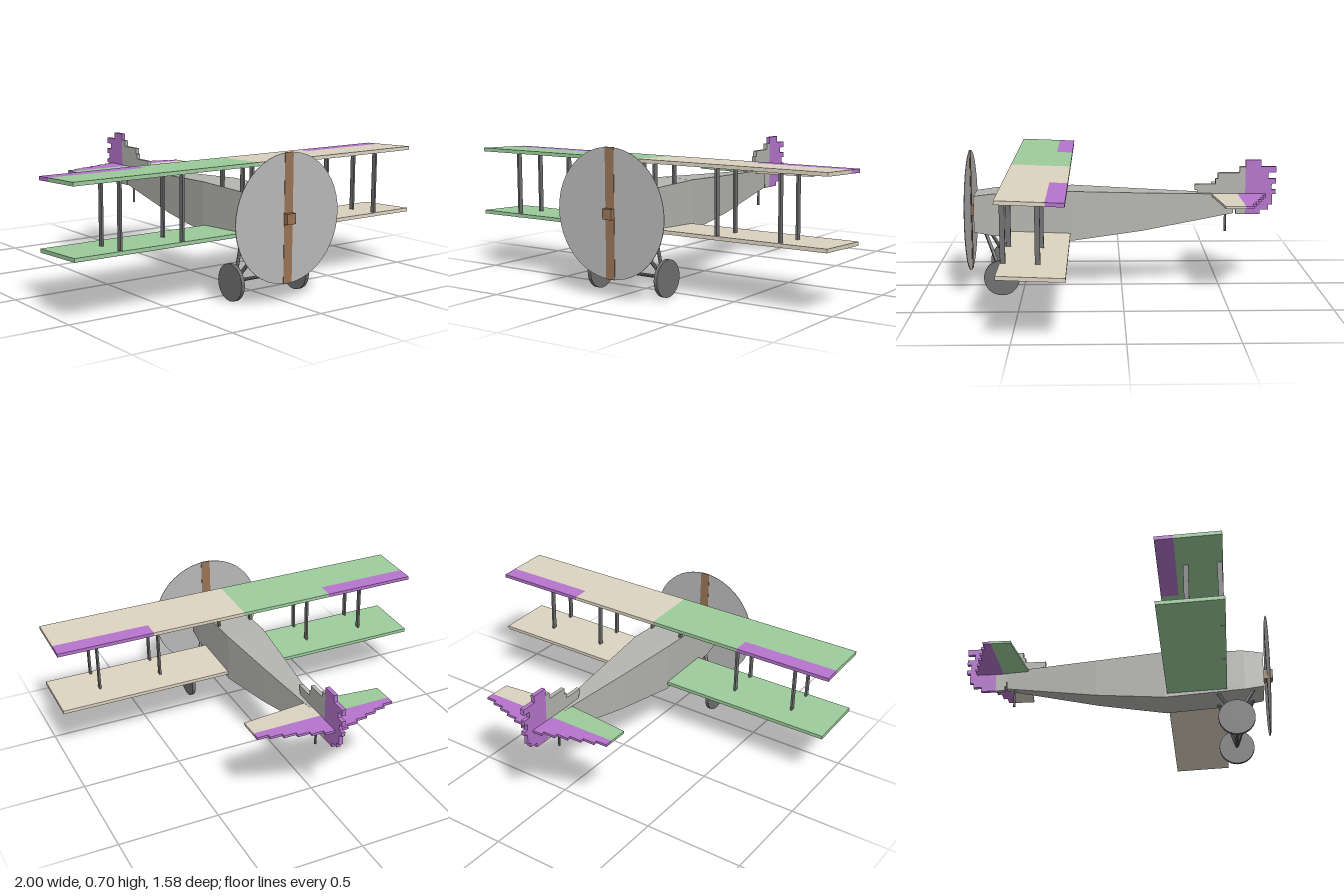
import * as THREE from 'three';

const mat = (color) => new THREE.MeshStandardMaterial({ color, flatShading: true });
const GREY = mat(0xb4b4b0), DARK = mat(0x707072), GREEN = mat(0x9ccb9c), CREAM = mat(0xdcd3c0),
  PURPLE = mat(0xb574cc), BROWN = mat(0x987355), DISC = mat(0xb8b8b8);

// Box given by its ranges on each axis
function box(parent, name, material, [x0, x1], [y0, y1], [z0, z1]) {
  const m = new THREE.Mesh(new THREE.BoxGeometry(Math.abs(x1 - x0), y1 - y0, Math.abs(z1 - z0)), material);
  m.position.set((x0 + x1) / 2, (y0 + y1) / 2, (z0 + z1) / 2);
  m.name = name;
  parent.add(m);
  return m;
}

// Round rod between two points
function rod(parent, name, a, b, r) {
  const p = new THREE.Vector3(...a), q = new THREE.Vector3(...b), d = q.clone().sub(p);
  const m = new THREE.Mesh(new THREE.CylinderGeometry(r, r, d.length(), 10), DARK);
  m.position.copy(p).add(q).multiplyScalar(0.5);
  m.quaternion.setFromUnitVectors(new THREE.Vector3(0, 1, 0), d.normalize());
  m.name = name;
  parent.add(m);
}

// Square-section body lofted through [z, halfWidth, bottom, top] stations, front to back
function fuselage() {
  const stations = [
    [0.745, 0.092, 0.297, 0.482], [0.65, 0.1, 0.281, 0.494], [0.25, 0.1, 0.254, 0.506],
    [-0.1, 0.066, 0.296, 0.491], [-0.57, 0.016, 0.376, 0.474],
  ];
  const pos = [], index = [];
  for (const [z, w, b, t] of stations) pos.push(w, b, z, w, t, z, -w, t, z, -w, b, z);
  const last = (stations.length - 1) * 4;
  for (let s = 0; s < last; s += 4) {
    for (let i = 0; i < 4; i++) {
      const a = s + i, b = s + (i + 1) % 4;
      index.push(a, a + 4, b, b, a + 4, b + 4);
    }
  }
  index.push(0, 1, 2, 0, 2, 3, last, last + 2, last + 1, last, last + 3, last + 2);
  const g = new THREE.BufferGeometry();
  g.setAttribute('position', new THREE.Float32BufferAttribute(pos, 3));
  g.setIndex(index);
  const flat = g.toNonIndexed();
  flat.computeVertexNormals();
  const m = new THREE.Mesh(flat, GREY);
  m.name = 'fuselage';
  return m;
}

// Wing pair, nose slightly raised; the upper one carries ailerons
function wing(name, y, ailerons) {
  const g = new THREE.Group();
  g.name = name;
  g.position.set(0, y, 0.41);
  g.rotation.x = -0.04;
  const thick = [-0.009, 0.009];
  for (const [s, material] of [[1, CREAM], [-1, GREEN]]) {
    if (ailerons) {
      box(g, 'wingPanel', material, [0, s], thick, [-0.065, 0.15]);
      box(g, 'wingRootTrailing', material, [0, s * 0.5], thick, [-0.15, -0.065]);
      box(g, 'aileron', PURPLE, [s * 0.5, s], thick, [-0.15, -0.065]);
    } else {
      box(g, 'wingPanel', material, [0, s], thick, [-0.15, 0.15]);
    }
  }
  return g;
}

// Tailplane halves with stepped elevators
function tailplane() {
  const g = new THREE.Group();
  g.name = 'tailplane';
  for (const [s, material] of [[1, CREAM], [-1, GREEN]]) {
    // Shape y becomes -z once laid flat
    const shape = new THREE.Shape([[0, 0.455], [s * 0.355, 0.492], [s * 0.355, 0.59], [0, 0.59]]
      .map((p) => new THREE.Vector2(...p)));
    const geo = new THREE.ExtrudeGeometry(shape, { depth: 0.012, bevelEnabled: false });
    const m = new THREE.Mesh(geo, material);
    m.name = 'stabilizer';
    m.rotation.x = -Math.PI / 2;
    m.position.y = 0.464;
    g.add(m);
    for (let i = 0; i < 6; i++) {
      const x1 = i === 5 ? 0.355 : (i + 1) * 0.06;
      box(g, 'elevator', PURPLE, [s * i * 0.06, s * x1], [0.464, 0.476], [-0.59, -0.73 + i * 0.02]);
    }
  }
  return g;
}

// Vertical tail as stacked strips: [bottom, top, fin front z, rudder rear z]
function verticalTail() {
  const g = new THREE.Group();
  g.name = 'verticalTail';
  const strips = [
    [0.37, 0.393, -0.583, -0.706], [0.393, 0.418, -0.575, -0.748], [0.418, 0.473, -0.565, -0.768],
    [0.473, 0.495, -0.385, -0.786], [0.495, 0.526, -0.372, -0.765], [0.526, 0.553, -0.478, -0.786],
    [0.553, 0.583, -0.49, -0.748], [0.583, 0.614, -0.6, -0.786], [0.614, 0.649, null, -0.71],
  ];
  const w = [-0.01, 0.01];
  for (const [b, t, front, rear] of strips) {
    if (front !== null) box(g, 'fin', GREY, w, [b, t], [-0.63, front]);
    box(g, 'rudder', PURPLE, w, [b, t], [rear, -0.63]);
  }
  return g;
}

// Spinning propeller disc with blade and hub
function propeller() {
  const g = new THREE.Group();
  g.name = 'propeller';
  const disc = new THREE.Mesh(new THREE.CylinderGeometry(0.305, 0.305, 0.003, 48), DISC);
  disc.name = 'propellerDisc';
  disc.rotation.x = Math.PI / 2;
  disc.position.set(0, 0.395, 0.767);
  g.add(disc);
  box(g, 'propellerBlade', BROWN, [-0.025, 0.025], [0.09, 0.7], [0.764, 0.77]);
  box(g, 'propellerHub', BROWN, [-0.025, 0.025], [0.37, 0.42], [0.743, 0.793]);
  return g;
}

export function createModel() {
  const model = new THREE.Group();
  model.name = 'biplane';
  model.add(fuselage(), wing('upperWing', 0.614, true), wing('lowerWing', 0.289, false),
    tailplane(), verticalTail(), propeller());

  const gear = new THREE.Group();
  gear.name = 'landingGear';
  model.add(gear);
  for (const s of [1, -1]) {
    // Wing struts and short struts above the fuselage
    for (const z of [0.545, 0.39]) {
      for (const x of [0.765, 0.435]) {
        box(model, 'wingStrut', DARK, [s * (x - 0.005), s * (x + 0.005)], [0.285, 0.612], [z - 0.012, z + 0.012]);
      }
      box(model, 'centreStrut', DARK, [s * 0.085, s * 0.095], [0.48, 0.612], [z - 0.012, z + 0.012]);
    }
    // Wheel and its pair of slanted legs
    const wheel = new THREE.Mesh(new THREE.CylinderGeometry(0.089, 0.089, 0.018, 32), DARK);
    wheel.name = 'wheel';
    wheel.rotation.z = Math.PI / 2;
    wheel.position.set(s * 0.195, 0.089, 0.6);
    gear.add(wheel);
    for (const z of [0.69, 0.51]) {
      rod(gear, 'gearLeg', [s * 0.175, 0.092, 0.6], [s * 0.06, 0.29, z], 0.009);
    }
  }
  rod(gear, 'axle', [-0.195, 0.092, 0.6], [0.195, 0.092, 0.6], 0.008);
  rod(model, 'tailSkid', [0, 0.28, -0.53], [0, 0.4, -0.53], 0.006);
  return model;
}
